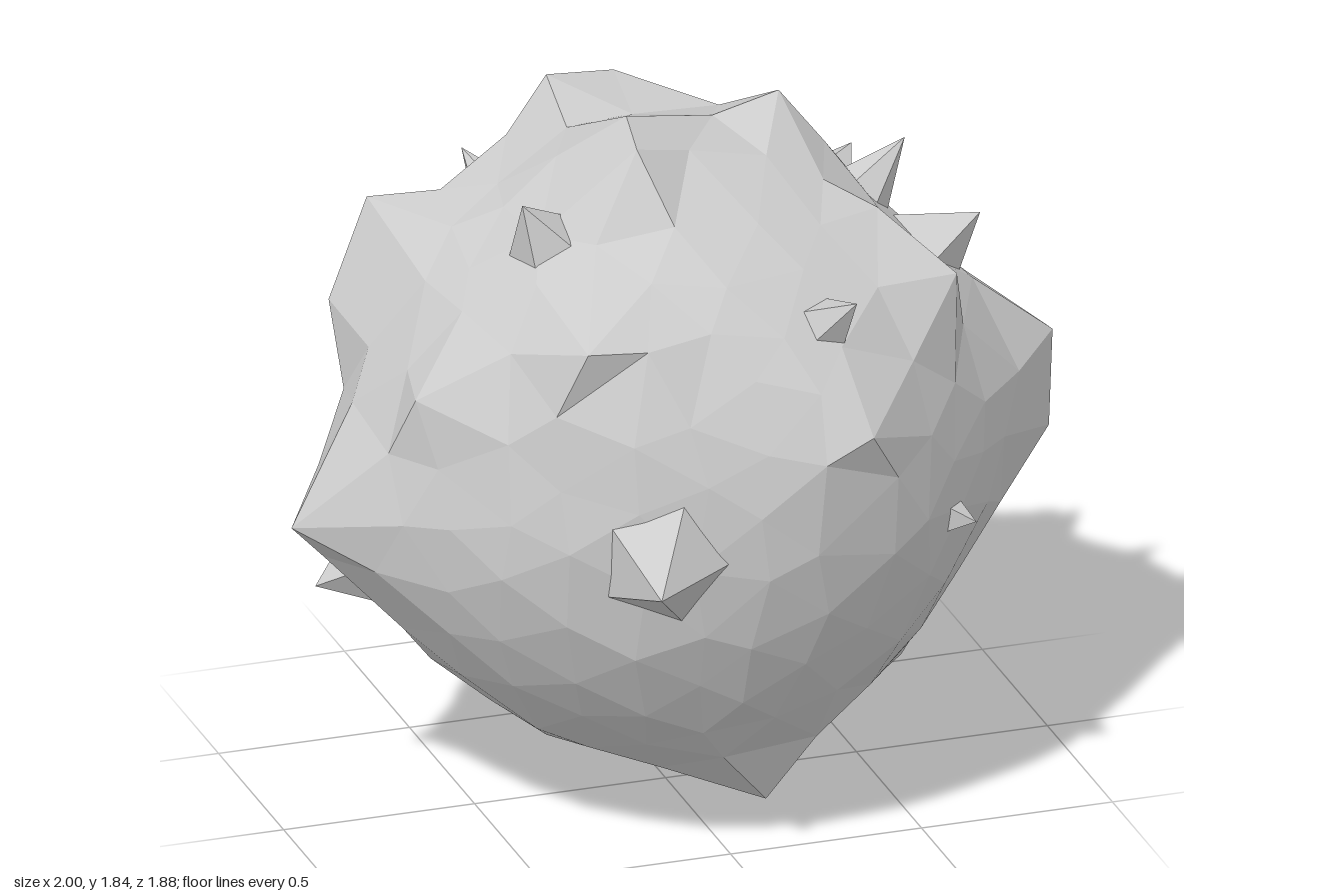
import * as THREE from 'three';
import { mergeVertices } from 'three/addons/utils/BufferGeometryUtils.js';

const CENTRE = new THREE.Vector3(0, 0.92, 0);
const RADIUS = 0.79;

// Broad peaks pulled out of the faceted ball: x, y, z and, if narrower, a width factor
const PEAKS = [
  [-1, 0.84, 0.06], [1, 1.09, 0.04], [0.97, 0.86, 0.1], [0.32, 0, -0.1], [0.12, 0.1, 0.42],
  [0.62, 1.45, 0.42, 0.8], [0.31, 1.8, -0.04], [-0.13, 1.84, 0.08], [-0.15, 1.81, 0.22, 0.6],
  [-0.41, 1.45, 0.61], [0, 1.75, -0.4, 0.8], [-0.19, 1.78, -0.36, 0.8], [0.1, 1.57, -0.57],
  [0.23, 1.4, -0.85], [0.07, 1, -0.94], [-0.2, 1.12, -0.88], [-0.78, 1.28, -0.3, 0.7],
  [0.28, 1.2, 0.78], [0.86, 1.15, -0.27], [0.78, 1.12, -0.61, 0.75], [0.6, 0.27, 0.05],
  [-0.47, 0.83, -0.79], [-0.67, 1.53, -0.33, 0.65], [0.47, 1.58, 0.25, 0.8],
  [-0.75, 1.24, 0.28, 0.8], [0.745, 0.5, -0.13], [0.26, 0.14, -0.44, 0.9],
];

// Narrow spikes: tip x, y, z, root radius, number of sides
const SPIKES = [
  [-0.33, 0.91, 0.94, 0.22, 5], [-0.45, 1.7, 0.22, 0.16, 5], [0.28, 1.51, 0.65, 0.12, 5],
  [0.63, 1.64, -0.01, 0.13, 6], [0.62, 1.47, -0.39, 0.16, 5], [-0.89, 0.61, -0.08, 0.2, 4],
  [-0.16, 0.02, -0.27, 0.19, 4], [0.57, 0.5, -0.49, 0.16, 5], [-0.32, 1.49, -0.63, 0.1, 6],
  [0.22, 0.59, -0.84, 0.16, 4], [0.79, 1.46, 0.1, 0.2, 4], [0.62, 0.84, 0.57, 0.12, 4],
];

function seeded(seed) {
  return () => {
    seed = (seed * 16807) % 2147483647;
    return seed / 2147483647;
  };
}

// Ball whose surface rises along a tangent cone towards every peak
function bodyGeometry(random) {
  let ball = new THREE.IcosahedronGeometry(1, 4);
  ball.deleteAttribute('normal');
  ball.deleteAttribute('uv');
  ball = mergeVertices(ball, 1e-4);
  const position = ball.attributes.position;
  const peaks = PEAKS.map(([x, y, z, width = 1]) => {
    const dir = new THREE.Vector3(x, y, z).sub(CENTRE);
    const spread = Math.acos(RADIUS / dir.length());
    return { dir: dir.normalize(), spread, width };
  });

  const dirs = [];
  for (let i = 0; i < position.count; i++) {
    const dir = new THREE.Vector3().fromBufferAttribute(position, i);
    const shift = new THREE.Vector3(random() - 0.5, random() - 0.5, random() - 0.5);
    dirs.push(dir.addScaledVector(shift, 0.08).normalize());
  }

  // Move the nearest free vertex exactly under each peak
  const taken = new Set();
  for (const peak of peaks) {
    let best = -1;
    dirs.forEach((dir, i) => {
      if (taken.has(i)) return;
      if (best < 0 || dir.dot(peak.dir) > dirs[best].dot(peak.dir)) best = i;
    });
    taken.add(best);
    dirs[best].copy(peak.dir);
  }

  dirs.forEach((dir, i) => {
    let r = RADIUS + (random() - 0.5) * 0.02;
    for (const peak of peaks) {
      const angle = dir.angleTo(peak.dir) / peak.width;
      if (angle < peak.spread) r = Math.max(r, RADIUS / Math.cos(peak.spread - angle));
    }
    position.setXYZ(i, dir.x * r, dir.y * r + CENTRE.y, dir.z * r);
  });
  const geometry = ball.toNonIndexed();
  geometry.computeVertexNormals();
  return geometry;
}

export function createModel() {
  const group = new THREE.Group();
  group.name = 'spikyRock';
  const material = new THREE.MeshStandardMaterial({ color: 0xcccccc, flatShading: true });
  const random = seeded(77);

  const body = new THREE.Mesh(bodyGeometry(random), material);
  body.name = 'body';
  group.add(body);

  // Spikes: pyramids rooted inside the body and pointing outwards
  const up = new THREE.Vector3(0, 1, 0);
  const root = 0.68;
  SPIKES.forEach(([x, y, z, radius, sides], i) => {
    const dir = new THREE.Vector3(x, y, z).sub(CENTRE);
    const length = dir.length() - root;
    dir.normalize();
    const geometry = new THREE.ConeGeometry(radius, length, sides);
    geometry.rotateY(random() * Math.PI);
    const spike = new THREE.Mesh(geometry, material);
    spike.name = `spike${i + 1}`;
    spike.quaternion.setFromUnitVectors(up, dir);
    spike.position.copy(CENTRE).addScaledVector(dir, root + length / 2);
    group.add(spike);
  });

  return group;
}
